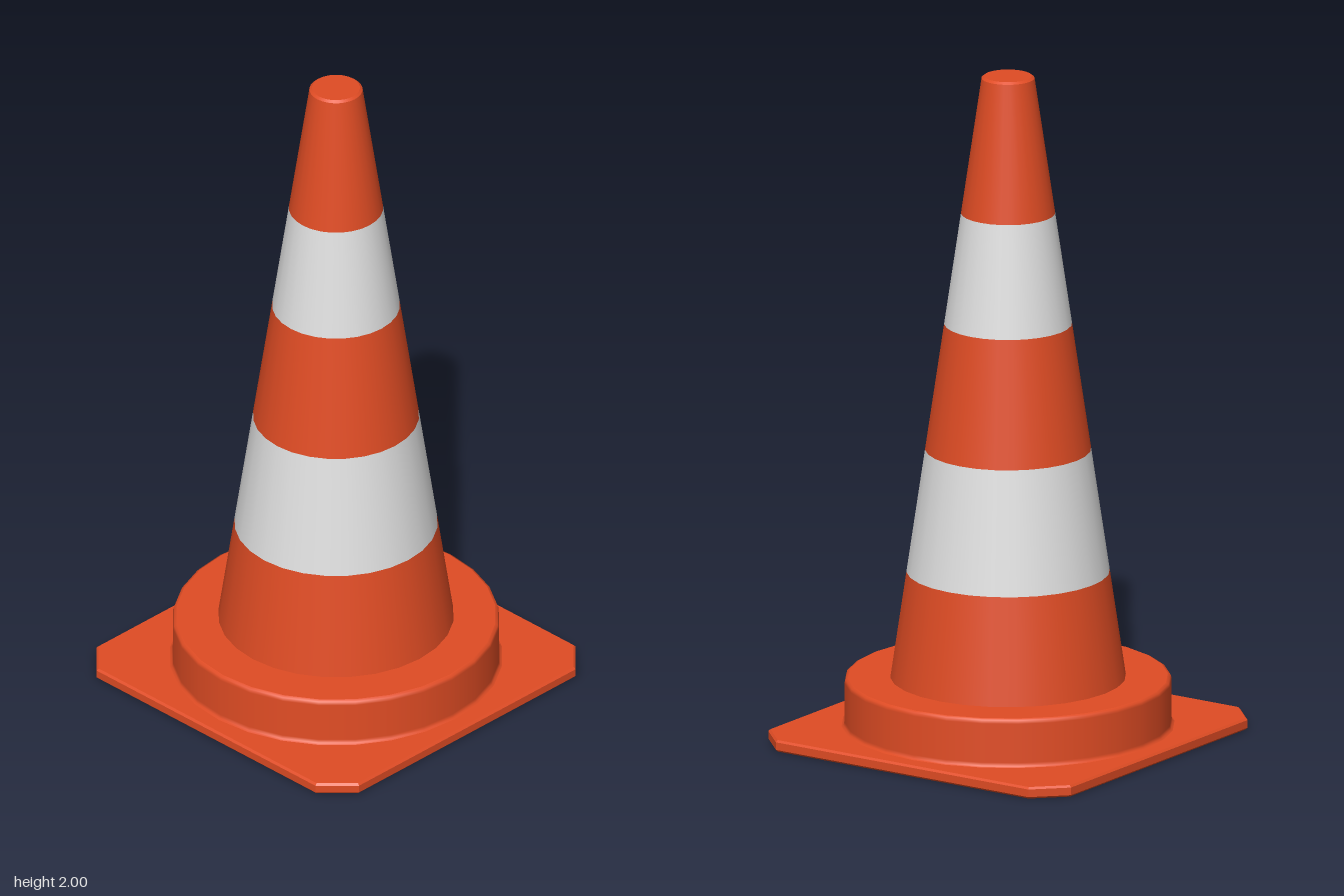
import * as THREE from 'three';
import { mergeGeometries } from 'three/addons/utils/BufferGeometryUtils.js';

const SIDES = 28;
const orange = new THREE.MeshStandardMaterial({ color: 0xe04c24 });
orange.name = 'orange plastic';
const white = new THREE.MeshStandardMaterial({ color: 0xe0e0e0 });
white.name = 'white band';

// Revolves several profiles; edges between separate profiles stay sharp
function lathe(name, material, ...profiles) {
  const parts = profiles.map((profile) =>
    new THREE.LatheGeometry(profile.map(([r, y]) => new THREE.Vector2(r, y)), SIDES));
  const mesh = new THREE.Mesh(mergeGeometries(parts), material);
  mesh.name = name;
  return mesh;
}

// Outer cone radius at a given height
const coneRadius = (y) => THREE.MathUtils.mapLinear(y, 0.18, 2, 0.345, 0.077);

export function createModel() {
  const group = new THREE.Group();
  group.name = 'trafficCone';

  // Square base plate with cut corners and a round opening
  const bevel = 0.006, half = 0.54 - bevel, cut = 0.448;
  const outline = new THREE.Shape([
    [half, -cut], [half, cut], [cut, half], [-cut, half],
    [-half, cut], [-half, -cut], [-cut, -half], [cut, -half],
  ].map(([x, y]) => new THREE.Vector2(x, y)));
  outline.holes.push(new THREE.Path().absarc(0, 0, 0.464, 0, Math.PI * 2, true));
  const plateGeometry = new THREE.ExtrudeGeometry(outline, {
    depth: 0.023, curveSegments: SIDES, bevelEnabled: true,
    bevelThickness: bevel, bevelSize: bevel, bevelSegments: 1,
  });
  plateGeometry.rotateX(-Math.PI / 2).translate(0, bevel, 0);
  const plate = new THREE.Mesh(plateGeometry, orange);
  plate.name = 'basePlate';
  group.add(plate);

  // Raised round collar with softened edges
  group.add(lathe('collar', orange,
    [[0.49, 0.034], [0.482, 0.038], [0.479, 0.048], [0.479, 0.166], [0.476, 0.176], [0.468, 0.18]],
    [[0.468, 0.18], [0.345, 0.18]]));

  // Cone built as alternating coloured bands
  const levels = [0.18, 0.5, 0.87, 1.25, 1.585, 1.994];
  for (let i = 0; i < levels.length - 1; i++) {
    const [low, high] = [levels[i], levels[i + 1]];
    group.add(lathe(i % 2 ? 'whiteBand' : 'orangeBand', i % 2 ? white : orange,
      [[coneRadius(low), low], [coneRadius(high), high]]));
  }

  // Closed tip with a narrow bevel
  group.add(lathe('tip', orange,
    [[coneRadius(1.994), 1.994], [0.07, 2]],
    [[0.07, 2], [0, 2]]));

  // Hollow inside: tip ceiling, cone wall, collar ceiling and collar wall
  group.add(lathe('innerShell', orange,
    [[0, 1.98], [0.062, 1.98]],
    [[0.062, 1.98], [0.33, 0.165]],
    [[0.33, 0.165], [0.45, 0.165], [0.458, 0.162], [0.462, 0.152], [0.462, 0.02]]));

  return group;
}
